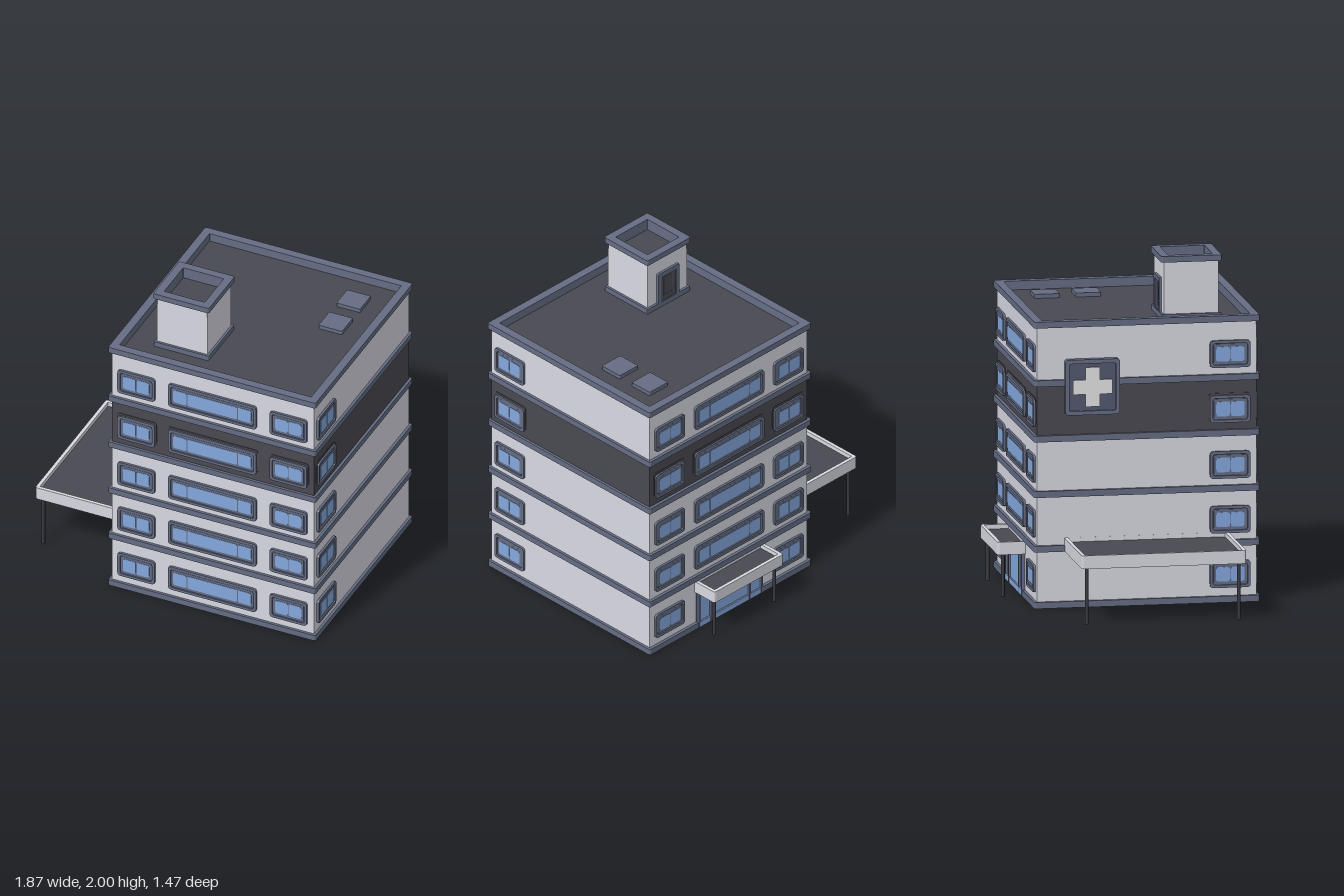
import * as THREE from 'three';

const material = (name, color) => {
  const m = new THREE.MeshStandardMaterial({ color });
  m.name = name;
  return m;
};

// Rounded rectangle outline centred on (cx, cy)
function rounded(T, cx, cy, w, h, r) {
  const p = new T(), x = w / 2, y = h / 2;
  p.moveTo(cx - x + r, cy - y);
  p.lineTo(cx + x - r, cy - y);
  p.quadraticCurveTo(cx + x, cy - y, cx + x, cy - y + r);
  p.lineTo(cx + x, cy + y - r);
  p.quadraticCurveTo(cx + x, cy + y, cx + x - r, cy + y);
  p.lineTo(cx - x + r, cy + y);
  p.quadraticCurveTo(cx - x, cy + y, cx - x, cy + y - r);
  p.lineTo(cx - x, cy - y + r);
  p.quadraticCurveTo(cx - x, cy - y, cx - x + r, cy - y);
  return p;
}

// Plate facing +z; a rim width above 0 turns it into a frame
function plate(w, h, depth, r, rim = 0) {
  const s = rounded(THREE.Shape, 0, 0, w, h, r);
  if (rim) s.holes.push(rounded(THREE.Path, 0, 0, w - 2 * rim, h - 2 * rim, Math.max(r - rim / 2, 0.003)));
  return new THREE.ExtrudeGeometry(s, { depth, bevelEnabled: false, curveSegments: 3 });
}

export function createModel() {
  const model = new THREE.Group();
  model.name = 'officeBuilding';
  const wall = material('pale wall', 0xd8d8e2);
  const dark = material('charcoal', 0x494951);
  const slate = material('slate trim', 0x656d84);
  const shade = material('dark slate', 0x525970);
  const glass = material('blue glass', 0x84a8de);
  const post = material('post black', 0x38383f);
  const white = material('sign white', 0xf0f0f2);

  const add = (parent, name, geometry, mat, x = 0, y = 0, z = 0) => {
    const mesh = new THREE.Mesh(geometry, mat);
    mesh.name = name;
    mesh.position.set(x, y, z);
    parent.add(mesh);
    return mesh;
  };
  const box = (name, mat, x0, x1, y0, y1, z0, z1) =>
    add(model, name, new THREE.BoxGeometry(x1 - x0, y1 - y0, z1 - z0), mat,
      (x0 + x1) / 2, (y0 + y1) / 2, (z0 + z1) / 2);
  // Horizontal rounded slab, or ring when rim is given
  const slab = (name, mat, x0, x1, y0, y1, z0, z1, r, rim = 0) =>
    add(model, name, plate(x1 - x0, z1 - z0, y1 - y0, r, rim).rotateX(-Math.PI / 2), mat,
      (x0 + x1) / 2, y0, (z0 + z1) / 2);
  // Sunken roof: outer wall ring, slate lining, dark deck and overhanging cap
  const sunkenRoof = (name, x0, x1, z0, z1, floor, capBase, top, rim) => {
    const o = 0.017, i = 0.012;
    slab(name + 'WallTop', wall, x0, x1, floor - 0.01, capBase + 0.003, z0, z1, 0.003, i + 0.005);
    slab(name + 'Lining', slate, x0 + i, x1 - i, floor - 0.01, capBase + 0.003, z0 + i, z1 - i, 0.003, rim - o - i);
    box(name + 'Deck', dark, x0 + i, x1 - i, floor - 0.012, floor, z0 + i, z1 - i);
    slab(name + 'Cap', slate, x0 - o, x1 + o, capBase, top, z0 - o, z1 + o, 0.012, rim);
  };

  // Storeys and the trim bands between them
  const levels = [0, 0.33, 0.65, 0.975, 1.3, 1.62];
  const X0 = -0.37, X1 = 0.915, Z0 = -0.57, Z1 = 0.715, CX = 0.2725;
  for (let i = 0; i < 5; i++) {
    box('storey', i === 3 ? dark : wall, X0, X1, levels[i] + 0.01, levels[i + 1] + (i < 4 ? 0.01 : 0), Z0, Z1);
    slab('trimBand', slate, -0.388, 0.931, levels[i], levels[i] + 0.037, -0.588, 0.731, 0.015);
  }
  sunkenRoof('mainRoof', X0, X1, Z0, Z1, 1.628, 1.643, 1.68, 0.05);
  for (const z of [-0.333, -0.09]) slab('roofHatch', slate, 0.6, 0.75, 1.625, 1.652, z - 0.073, z + 0.073, 0.008);

  // Wall faces, each with local z pointing outwards
  const face = (name, x, z, angle) => {
    const g = new THREE.Group();
    g.name = name;
    g.position.set(x, 0, z);
    g.rotation.y = angle;
    model.add(g);
    return g;
  };
  const front = face('frontFace', CX, Z1, 0);
  const back = face('backFace', CX, Z0, Math.PI);
  const leftSide = face('leftFace', X1, 0, Math.PI / 2);
  const rightSide = face('rightFace', X0, 0, -Math.PI / 2);

  // Window: outer frame, reveal, inner frame and panes; the dark storey adds a backing
  const windowUnit = (parent, x, y, w, panes, backed) => {
    const g = new THREE.Group();
    g.name = 'window';
    g.position.set(x, y, 0);
    parent.add(g);
    if (backed) add(g, 'backing', plate(w + 0.016, 0.16, 0.004, 0.022), dark, 0, 0.012, 0);
    add(g, 'outerFrame', plate(w, 0.16, 0.014, 0.022, 0.017), slate);
    add(g, 'reveal', plate(w - 0.02, 0.14, 0.005, 0.015), shade);
    add(g, 'innerFrame', plate(w - 0.044, 0.116, 0.009, 0.012), slate);
    for (const [a, b] of panes)
      add(g, 'pane', plate(b - a, 0.086, 0.003, 0.014), glass, (a + b) / 2, 0, 0.008);
  };
  const small = [[-0.083, -0.002], [0.002, 0.083]];
  const wide = [[-0.248, -0.163], [-0.158, 0.158], [0.163, 0.248]];
  [0.165, 0.485, 0.805, 1.133, 1.455].forEach((y, i) => {
    const backed = i === 3;
    for (const f of [front, back]) {
      for (const x of [-0.484, 0.484]) windowUnit(f, x, y, 0.237, small, backed);
      if (f === front || i > 0) windowUnit(f, 0, y, 0.56, wide, backed);
    }
    windowUnit(leftSide, -0.56, y, 0.237, small, backed);
    windowUnit(rightSide, 0.56, y, 0.237, small, backed);
  });

  // Glazed entrance at the back, carried down across the base band
  add(back, 'entranceSurround', new THREE.BoxGeometry(0.53, 0.25, 0.01), slate, 0, 0.127, 0.001);
  add(back, 'entranceThreshold', new THREE.BoxGeometry(0.5, 0.035, 0.004), glass, 0, 0.02, 0.018);
  for (const [x, w] of [[-0.206, 0.085], [0, 0.3], [0.206, 0.085]])
    add(back, 'entranceGlass', new THREE.BoxGeometry(w, 0.215, 0.006), glass, x, 0.135, 0.006);
  for (const x of [-0.255, -0.157, 0.157, 0.255])
    add(back, 'entrancePost', new THREE.BoxGeometry(0.014, 0.25, 0.018), slate, x, 0.126, 0.012);

  // Canopies: slab, raised rim, dark covering and thin posts
  const canopy = (name, x0, x1, y0, y1, z0, z1, posts) => {
    slab(name + 'Slab', wall, x0, x1, y0, y1 - 0.03, z0, z1, 0.015);
    slab(name + 'Rim', wall, x0, x1, y1 - 0.03, y1, z0, z1, 0.015, 0.021);
    box(name + 'Covering', dark, x0 + 0.015, x1 - 0.015, y1 - 0.034, y1 - 0.026, z0 + 0.015, z1 - 0.015);
    for (const [x, z] of posts)
      add(model, name + 'Post', new THREE.CylinderGeometry(0.011, 0.011, y0 + 0.01, 12), post, x, (y0 + 0.01) / 2, z);
  };
  canopy('sideCanopy', -0.935, -0.35, 0.33, 0.408, -0.41, 0.553, [[-0.9, -0.375], [-0.9, 0.515]]);
  canopy('entranceCanopy', -0.01, 0.55, 0.25, 0.325, -0.735, -0.55, [[0.025, -0.697], [0.515, -0.697]]);

  // Roof stair tower
  box('towerWalls', wall, -0.17, 0.15, 1.625, 1.92, 0.21, 0.53);
  sunkenRoof('towerRoof', -0.17, 0.15, 0.21, 0.53, 1.93, 1.965, 2, 0.048);
  slab('towerSkirting', slate, -0.184, 0.164, 1.625, 1.66, 0.196, 0.544, 0.006);
  const tower = face('towerDoor', -0.01, 0.21, Math.PI);
  add(tower, 'doorFrame', plate(0.17, 0.225, 0.015, 0.008, 0.025), slate, 0, 1.748, 0);
  add(tower, 'doorLeaf', new THREE.BoxGeometry(0.13, 0.2, 0.014), dark, 0, 1.74, 0.004);
  add(tower, 'doorPanel', plate(0.08, 0.13, 0.002, 0.006, 0.008), shade, 0, 1.755, 0.0105);
  add(tower, 'doorHandle', new THREE.SphereGeometry(0.005, 10, 8), slate, 0.05, 1.72, 0.012);

  // Wall sign with a plain plus shape
  const sign = new THREE.Group();
  sign.name = 'wallSign';
  sign.position.set(-0.25, 1.293, 0);
  rightSide.add(sign);
  add(sign, 'signFrame', plate(0.32, 0.325, 0.04, 0.02, 0.024), slate);
  add(sign, 'signBack', plate(0.29, 0.295, 0.028, 0.015), shade);
  const plus = new THREE.Shape();
  const a = 0.042, b = 0.115;
  [[-a, -b], [a, -b], [a, -a], [b, -a], [b, a], [a, a], [a, b], [-a, b], [-a, a], [-b, a], [-b, -a], [-a, -a]]
    .forEach(([x, y], i) => (i ? plus.lineTo(x, y) : plus.moveTo(x, y)));
  add(sign, 'signPlus', new THREE.ExtrudeGeometry(plus, { depth: 0.009, bevelEnabled: false }), white, 0, 0, 0.028);

  return model;
}
